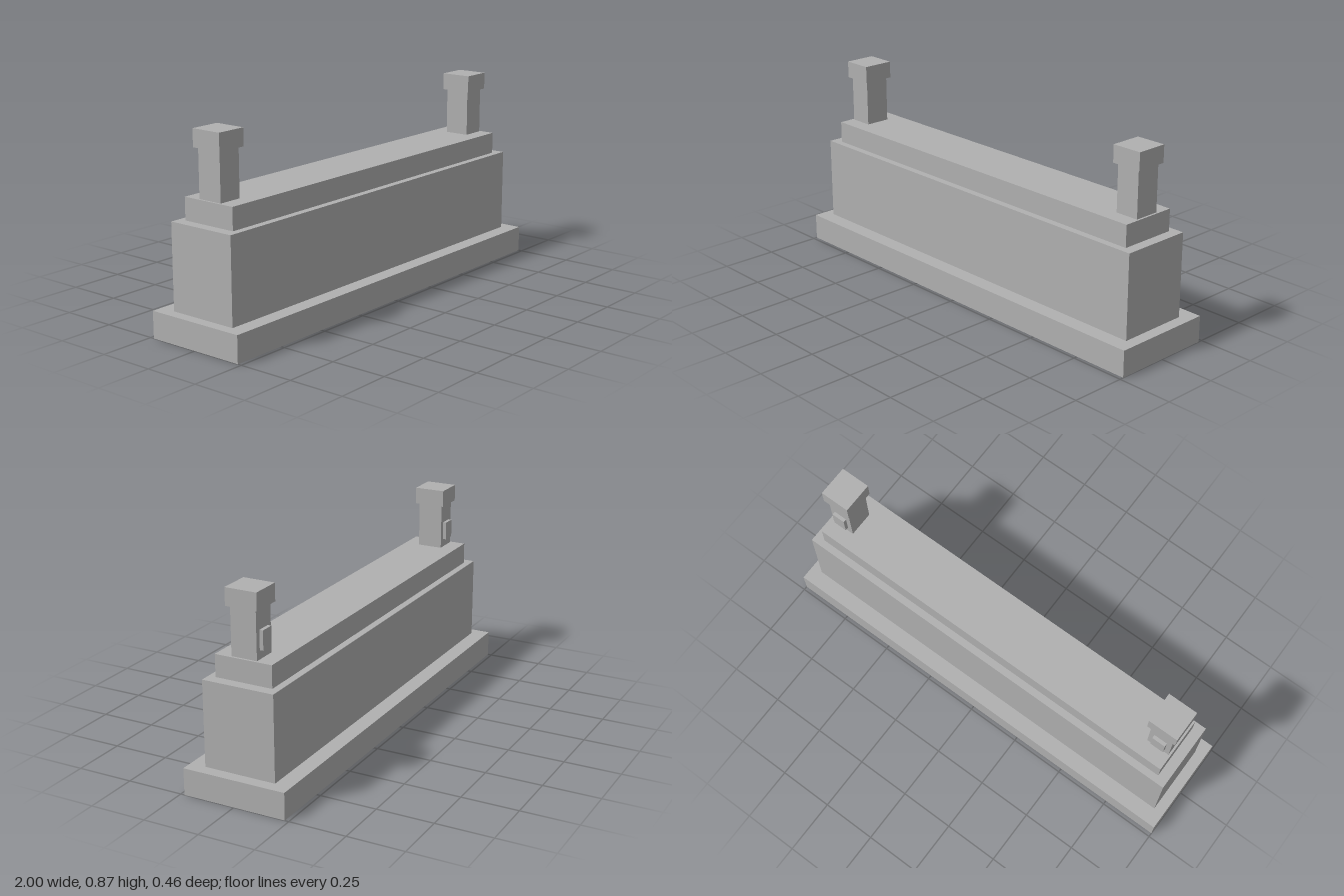
import * as THREE from 'three';

export function createModel() {
  const model = new THREE.Group();
  const stone = new THREE.MeshStandardMaterial({ color: 0xb0b0b0 });
  stone.name = 'grey stone';

  // Box centred on (x, z) and spanning y0 to y1
  const block = (parent, name, width, depth, y0, y1, x = 0, z = 0) => {
    const mesh = new THREE.Mesh(new THREE.BoxGeometry(width, y1 - y0, depth), stone);
    mesh.name = name;
    mesh.position.set(x, (y0 + y1) / 2, z);
    parent.add(mesh);
  };

  // Stepped wall
  block(model, 'base', 2, 0.464, 0, 0.118);
  block(model, 'wallBody', 1.9, 0.322, 0.118, 0.492, -0.002, 0.001);
  block(model, 'coping', 1.806, 0.258, 0.492, 0.589, -0.002, 0.001);

  // Capped posts at both ends, each with a small plate on its back
  for (const [name, x] of [['leftPost', 0.838], ['rightPost', -0.842]]) {
    const post = new THREE.Group();
    post.name = name;
    post.position.set(x, 0, 0.0015);
    block(post, 'postShaft', 0.107, 0.115, 0.589, 0.797);
    block(post, 'postCap', 0.136, 0.142, 0.797, 0.873);
    block(post, 'backPlate', 0.062, 0.016, 0.627, 0.71, 0, -0.0655);
    model.add(post);
  }
  return model;
}
